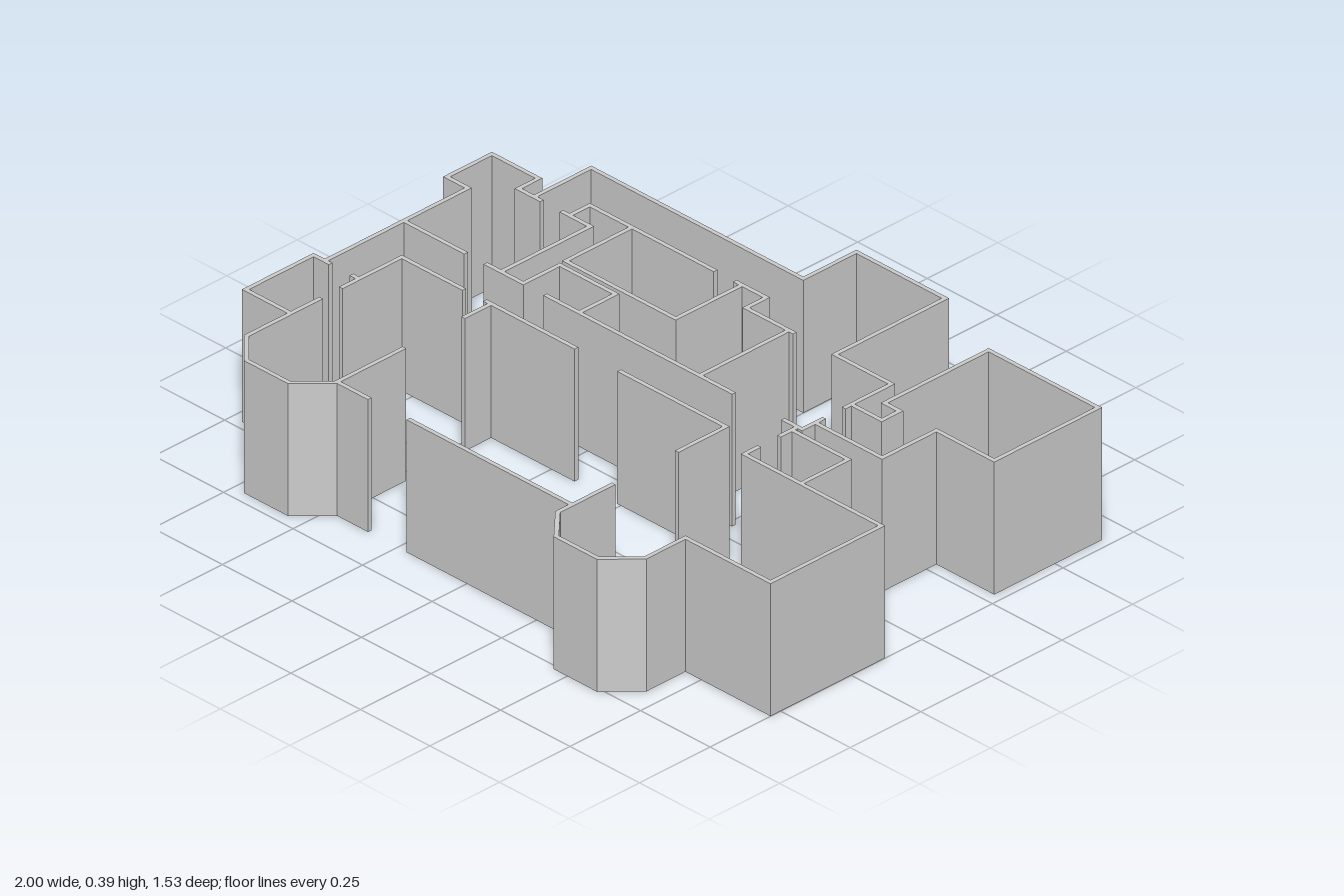
import * as THREE from 'three';

const HEIGHT = 0.39;
const HALF = 0.0065; // half the wall thickness

// Side offset at each point of a path, mitred where two runs meet
function mitres(points) {
  const normals = points.slice(1).map((p, i) => {
    const d = p.clone().sub(points[i]).normalize();
    return new THREE.Vector2(-d.y, d.x);
  });
  return points.map((_, i) => {
    const a = normals[Math.max(i - 1, 0)];
    const b = normals[Math.min(i, normals.length - 1)];
    return a.clone().add(b).multiplyScalar(HALF / (1 + a.dot(b)));
  });
}

export function createModel() {
  const model = new THREE.Group();
  model.name = 'floorPlanWalls';
  const material = new THREE.MeshStandardMaterial({ color: 0xcccccc, flatShading: true });

  // One upright wall of constant thickness following [x, z] corners
  function wall(name, ...corners) {
    const points = corners.map(([x, z]) => new THREE.Vector2(x, -z));
    const offsets = mitres(points);
    const left = points.map((p, i) => p.clone().add(offsets[i]));
    const right = points.map((p, i) => p.clone().sub(offsets[i]));
    const outline = new THREE.Shape([...right, ...left.reverse()]);
    const geometry = new THREE.ExtrudeGeometry(outline, { depth: HEIGHT, bevelEnabled: false });
    geometry.rotateX(-Math.PI / 2);
    const mesh = new THREE.Mesh(geometry, material);
    mesh.name = name;
    model.add(mesh);
  }

  // Right side: porch closet, long side wall and small projecting room
  wall('backRightClosetWall', [-0.741, -0.369], [-0.826, -0.369], [-0.826, -0.441], [-0.994, -0.441],
    [-0.994, -0.281], [-0.917, -0.281], [-0.917, 0.227]);
  wall('sideRoomWall', [-0.896, 0.227], [-0.957, 0.227], [-0.957, 0.468], [-0.794, 0.468]);
  wall('sideRoomDoorStub', [-0.821, 0.227], [-0.794, 0.227]);

  // Front right room with its bay window
  wall('frontRightRoomCorner', [-0.57, 0.075], [-0.794, 0.075], [-0.794, 0.291]);
  wall('frontRightBay', [-0.794, 0.361], [-0.794, 0.625], [-0.709, 0.709], [-0.555, 0.709],
    [-0.473, 0.625], [-0.473, 0.382]);
  wall('entranceStub', [-0.473, 0.62], [-0.356, 0.62]);

  // Central front hall
  wall('hallBackRightWall', [-0.495, 0.075], [-0.166, 0.075]);
  wall('hallRightStub', [-0.473, 0.075], [-0.473, 0.174]);
  wall('hallBackLeftWall', [-0.013, 0.075], [0.372, 0.075], [0.372, 0.249]);
  wall('hallFrontWall', [-0.217, 0.62], [0.372, 0.62]);

  // Front left room with its bay window
  wall('frontLeftRoomAndBay', [0.5, 0.083], [0.5, 0.136], [0.993, 0.136], [0.993, 0.529],
    [0.687, 0.529], [0.687, 0.671], [0.605, 0.757], [0.454, 0.757], [0.372, 0.671], [0.372, 0.473]);
  wall('leftClosetWall', [0.5, 0.013], [0.5, -0.032], [0.703, -0.032], [0.703, 0.136]);
  wall('leftClosetStub', [0.5, -0.032], [0.5, -0.053]);

  // Back outer wall and the back left room
  wall('backOuterWall', [-0.77, -0.369], [-0.77, -0.572], [-0.007, -0.572], [-0.007, -0.76],
    [0.313, -0.76], [0.313, -0.369], [0.516, -0.369], [0.516, -0.2]);
  wall('backLeftRoomWall', [0.516, -0.227], [0.625, -0.227], [0.625, -0.291], [0.57, -0.291],
    [0.57, -0.66], [0.965, -0.66], [0.965, -0.291], [0.757, -0.291], [0.757, -0.099], [0.516, -0.099]);
  wall('corridorEndStub', [0.516, -0.131], [0.516, -0.053], [0.447, -0.053]);

  // Corridor and inner rooms
  wall('corridorRightWall', [-0.917, -0.053], [-0.693, -0.053]);
  wall('innerClosetWall', [-0.623, -0.053], [-0.487, -0.053], [-0.487, -0.182], [-0.286, -0.182], [-0.286, -0.053]);
  wall('corridorMainWall', [-0.409, -0.053], [0.27, -0.053]);
  wall('innerLeftWall', [0.147, -0.053], [0.147, -0.369]);
  wall('innerBackLeftWall', [0.168, -0.369], [-0.007, -0.369], [-0.007, -0.441], [-0.12, -0.441]);
  wall('innerRoomWall', [-0.094, -0.441], [-0.094, -0.206], [-0.49, -0.206], [-0.49, -0.441]);
  wall('innerBackWall', [-0.19, -0.441], [-0.642, -0.441], [-0.642, -0.369]);
  wall('innerRightWall', [-0.671, -0.369], [-0.567, -0.369], [-0.567, -0.053]);

  return model;
}
